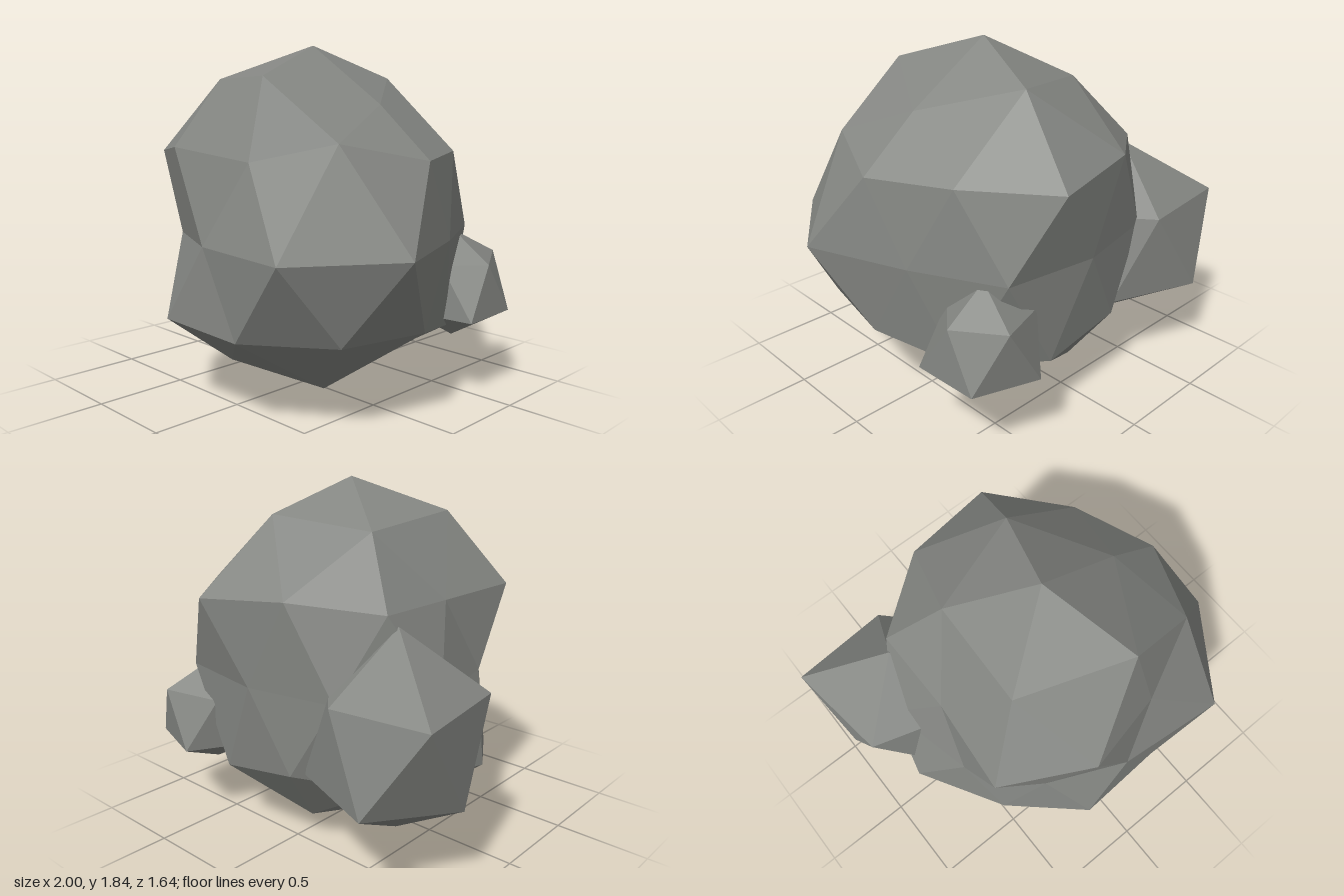
import * as THREE from 'three';

// A ring of points around the vertical axis: first azimuth in degrees, then [radius, height] pairs.
const ring = (start, points) => ({ start, points });
const pole = (y) => ring(0, [[0, y]]);

// Faceted stone: stacked rings, from top to bottom, stitched together by azimuth.
function stone(name, x, z, rings, material) {
  const position = [];
  const vertex = (r, i) => {
    const [radius, y] = r.points[i % r.points.length];
    const a = THREE.MathUtils.degToRad(r.start + (i * 360) / r.points.length);
    return [radius * Math.cos(a), y, radius * Math.sin(a)];
  };
  const nextEdge = (r, i) => {
    const n = r.points.length;
    return n === 1 || i === n ? Infinity : r.start + ((i + 0.5) * 360) / n;
  };
  for (let k = 0; k < rings.length - 1; k++) {
    const upper = rings[k], lower = rings[k + 1];
    let i = 0, j = 0;
    while (true) {
      const u = nextEdge(upper, i), l = nextEdge(lower, j);
      if (u === Infinity && l === Infinity) break;
      if (u < l) {
        position.push(...vertex(upper, i), ...vertex(upper, i + 1), ...vertex(lower, j));
        i++;
      } else {
        position.push(...vertex(lower, j), ...vertex(upper, i), ...vertex(lower, j + 1));
        j++;
      }
    }
  }
  const geometry = new THREE.BufferGeometry();
  geometry.setAttribute('position', new THREE.Float32BufferAttribute(position, 3));
  geometry.computeVertexNormals();
  const mesh = new THREE.Mesh(geometry, material);
  mesh.name = name;
  mesh.position.set(x, 0, z);
  return mesh;
}

export function createModel() {
  const group = new THREE.Group();
  group.name = 'rockCluster';
  const grey = new THREE.MeshStandardMaterial({ color: 0x848682, flatShading: true });
  grey.name = 'stone grey';

  // Large boulder: subdivided icosahedron with dents
  const equator = [0.97, 0.985, 0.74, 0.69, 0.72, 0.84, 0.82, 0.76, 0.85, 0.76];
  group.add(stone('mainBoulder', 0.075, 0.02, [
    pole(1.84),
    ring(0, [[0.46, 1.545], [0.515, 1.68], [0.5, 1.67], [0.46, 1.62], [0.455, 1.675]]),
    ring(0, [
      [0.767, 1.29], [0.727, 1.38], [0.65, 1.285], [0.755, 1.34], [0.822, 1.29],
      [0.62, 1.28], [0.77, 1.29], [0.77, 1.34], [0.86, 1.295], [0.73, 1.305],
    ]),
    ring(18, equator.map((r) => [r, 0.88])),
    ring(0, [
      [0.76, 0.465], [0.816, 0.47], [0.786, 0.46], [0.815, 0.485], [0.744, 0.39],
      [0.875, 0.475], [0.75, 0.4], [0.75, 0.46], [0.75, 0.38], [0.72, 0.38],
    ]),
    ring(36, [[0.37, 0.12], [0.473, 0.22], [0.425, 0.12], [0.515, 0.14], [0.374, 0.2]]),
    pole(0),
  ], grey));

  // Medium rock leaning on the back right
  group.add(stone('sideRock', -0.575, -0.385, [
    pole(1.235),
    ring(0, [[0.45, 0.93], [0.42, 0.93], [0.43, 0.93], [0.523, 0.925], [0.37, 0.91]]),
    ring(36, [[0.45, 0.48], [0.4, 0.5], [0.395, 0.44], [0.46, 0.47], [0.45, 0.48]]),
    pole(0.215),
  ], grey));

  // Small rock at the back left
  group.add(stone('smallRock', 0.6, -0.53, [
    pole(0.87),
    ring(0, [[0.225, 0.71], [0.2, 0.71], [0.25, 0.71], [0.25, 0.71], [0.27, 0.735]]),
    ring(36, [[0.31, 0.435], [0.25, 0.44], [0.27, 0.44], [0.3, 0.435], [0.3, 0.44]]),
    pole(0.29),
  ], grey));

  return group;
}
